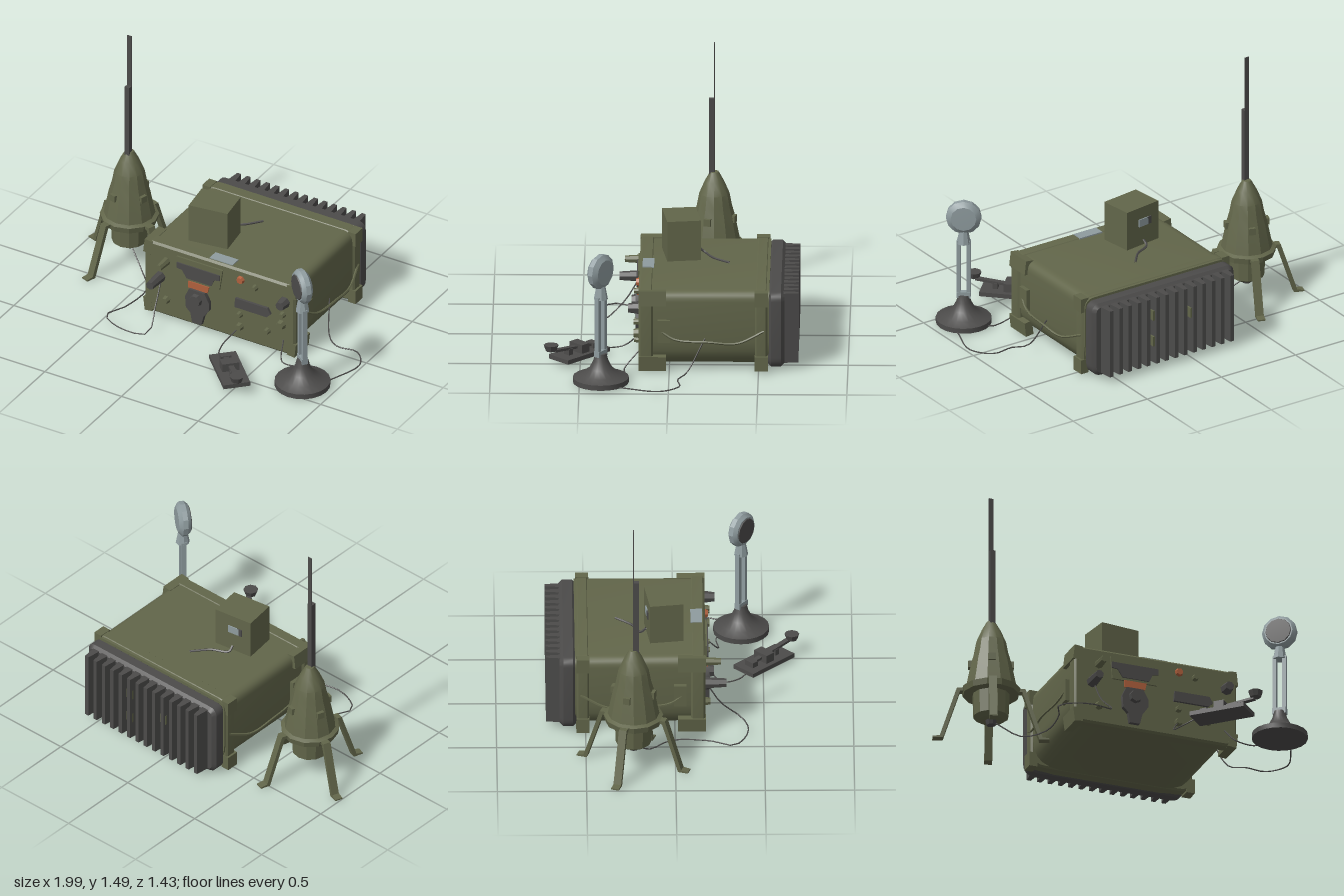
import * as THREE from 'three';
import { toCreasedNormals } from 'three/addons/utils/BufferGeometryUtils.js';

const mat = (name, hex, side = THREE.FrontSide) => {
  const m = new THREE.MeshStandardMaterial({ color: hex, side });
  m.name = name;
  return m;
};

export function createModel() {
  const olive = mat('olive', 0x62664a);
  const dark = mat('dark grey', 0x4c4b4a, THREE.DoubleSide);
  const steel = mat('steel', 0x8f9c9f);
  const orange = mat('orange', 0xb0603d);
  const root = new THREE.Group();
  root.name = 'fieldRadioSet';

  const group = (name, x = 0, y = 0, z = 0, ry = 0) => {
    const g = new THREE.Group();
    g.name = name;
    g.position.set(x, y, z);
    g.rotation.y = ry;
    root.add(g);
    return g;
  };
  const add = (parent, name, geo, material, x = 0, y = 0, z = 0) => {
    const m = new THREE.Mesh(toCreasedNormals(geo, 0.5), material);
    m.name = name;
    m.position.set(x, y, z);
    parent.add(m);
    return m;
  };
  // box given by its limits
  const box = (parent, name, material, x0, x1, y0, y1, z0, z1) =>
    add(parent, name, new THREE.BoxGeometry(x1 - x0, y1 - y0, z1 - z0), material,
      (x0 + x1) / 2, (y0 + y1) / 2, (z0 + z1) / 2);
  const poly = (pts) => new THREE.Shape(pts.map(([x, y]) => new THREE.Vector2(x, y)));
  const lathe = (pts, n) => new THREE.LatheGeometry(pts.map(([r, y]) => new THREE.Vector2(r, y)), n);
  const wire = (parent, name, pts, r = 0.004, material = dark) => add(parent, name, new THREE.TubeGeometry(
    new THREE.CatmullRomCurve3(pts.map((p) => new THREE.Vector3(...p))), 24, r, 5), material);
  // section with separate top and bottom corner radii, pushed from z0 to z1
  const block = (parent, name, material, w, y0, y1, rt, rb, z0, z1, bevel = 0) => {
    const s = new THREE.Shape();
    const h = w - bevel, b = y0 + bevel, t = y1 - bevel;
    s.moveTo(-h + rb, b).lineTo(h - rb, b).quadraticCurveTo(h, b, h, b + rb);
    s.lineTo(h, t - rt).quadraticCurveTo(h, t, h - rt, t);
    s.lineTo(-h + rt, t).quadraticCurveTo(-h, t, -h, t - rt);
    s.lineTo(-h, b + rb).quadraticCurveTo(-h, b, -h + rb, b);
    const geo = new THREE.ExtrudeGeometry(s, {
      depth: z1 - z0 - 2 * bevel, curveSegments: 5, bevelEnabled: bevel > 0,
      bevelSize: bevel, bevelThickness: bevel, bevelSegments: 1,
    });
    return add(parent, name, geo, material, 0, 0, z0 + bevel);
  };

  // radio housing
  const radio = group('radio', 0.145, 0, 0);
  block(radio, 'housing', olive, 0.478, 0.015, 0.468, 0.06, 0.16, -0.56, 0.13);
  block(radio, 'frontPanel', olive, 0.49, 0.01, 0.472, 0.035, 0.05, 0.09, 0.172, 0.012);
  block(radio, 'rearFrame', olive, 0.488, 0.012, 0.472, 0.05, 0.07, -0.55, -0.48, 0.01);
  block(radio, 'rearPlate', dark, 0.478, 0.012, 0.46, 0.03, 0.05, -0.645, -0.55, 0.02);

  // corner guards and side handles
  for (const s of [-1, 1]) {
    for (const y of [0.05, 0.43]) {
      const front = add(radio, 'frontCornerGuard', new THREE.BoxGeometry(0.05, 0.085, 0.155), olive, s * 0.468, y, 0.095);
      front.rotation.z = s * (y > 0.2 ? 1 : -1) * 0.12;
      add(radio, 'rearCornerGuard', new THREE.BoxGeometry(0.05, 0.085, 0.075), olive, s * 0.475, y, -0.515);
    }
    add(radio, 'handleMount', new THREE.BoxGeometry(0.03, 0.13, 0.07), olive, s * 0.487, 0.24, 0.03);
    wire(radio, 'carryStrap', [[s * 0.49, 0.25, 0.06], [s * 0.515, 0.2, -0.03], [s * 0.53, 0.19, -0.22],
      [s * 0.52, 0.18, -0.38], [s * 0.485, 0.24, -0.53]], 0.007, olive);
  }

  // cooling fins on the back
  for (let i = 0; i < 14; i++) {
    const x = -0.405 + i * 0.0625;
    add(radio, 'coolingFin', new THREE.ExtrudeGeometry(
      poly([[-0.022, 0], [-0.012, -0.085], [0.012, -0.085], [0.022, 0]].reverse()),
      { depth: 0.41, bevelEnabled: false }).rotateX(-Math.PI / 2).scale(1, 1, -1).translate(0, 0, 0).scale(-1, 1, 1),
      dark, x, 0.035, -0.637);
  }
  for (const [x, y] of [[0.1, 0.14], [0.1, 0.3], [-0.15, 0.25]])
    box(radio, 'rearClip', olive, x - 0.02, x + 0.02, y, y + 0.06, -0.71, -0.63);

  // front panel fittings, in world x
  const panel = group('frontPanelFittings');
  const plate = (name, material, pts, z = 0.172, d = 0.008) =>
    add(panel, name, new THREE.ExtrudeGeometry(poly(pts), { depth: d, bevelEnabled: false }), material, 0, 0, z);
  plate('displayRim', olive, [[-0.12, 0.30], [0.15, 0.30], [0.17, 0.435], [-0.13, 0.435]], 0.17, 0.012);
  plate('displayWindow', dark, [[-0.06, 0.315], [0.1, 0.315], [0.12, 0.36], [0.155, 0.365], [0.155, 0.4], [-0.125, 0.4], [-0.125, 0.365], [-0.09, 0.36]], 0.181);
  plate('orangeLabel', orange, [[-0.05, 0.258], [0.075, 0.258], [0.085, 0.3], [-0.05, 0.3]], 0.18);
  plate('connectorBody', dark, [[-0.02, 0.04], [0.04, 0.04], [0.055, 0.1], [0.09, 0.15], [0.09, 0.2], [0.06, 0.255],
    [-0.04, 0.255], [-0.065, 0.2], [-0.06, 0.13], [-0.03, 0.1]], 0.172, 0.025);
  plate('slot', dark, [[0.25, 0.225], [0.46, 0.225], [0.485, 0.25], [0.465, 0.285], [0.255, 0.285]], 0.172, 0.015);
  const knob = (name, material, x, y, r, d) => add(panel, name,
    new THREE.CylinderGeometry(r * 0.75, r, d, 7).rotateX(Math.PI / 2), material, x, y, 0.17 + d / 2);
  knob('orangeButton', orange, 0.285, 0.41, 0.026, 0.02);
  knob('volumeKnob', dark, -0.24, 0.26, 0.033, 0.12);
  knob('volumeKnobCap', olive, -0.2, 0.375, 0.025, 0.09);
  knob('tuningKnob', dark, 0.57, 0.355, 0.035, 0.06);
  knob('connectorCore', dark, 0.01, 0.2, 0.045, 0.05);
  for (const [x, y, r] of [[-0.2, 0.12, 0.025], [0.28, 0.1, 0.025], [0.38, 0.39, 0.02], [0.46, 0.13, 0.02],
    [0.55, 0.2, 0.03], [0.56, 0.27, 0.02], [0.28, 0.18, 0.02]]) knob('smallKnob', olive, x, y, r, 0.03);
  box(panel, 'topLabel', steel, 0.07, 0.22, 0.469, 0.477, 0.09, 0.155);

  // speaker box on top with its lead
  const speaker = group('speakerBox', -0.025, 0.465, -0.06, 0.14);
  box(speaker, 'speakerCase', olive, -0.118, 0.118, 0, 0.237, -0.095, 0.095);
  box(speaker, 'speakerSocket', steel, -0.04, 0.03, 0.12, 0.165, -0.101, -0.094);
  box(speaker, 'speakerSocketHole', dark, -0.06, -0.03, 0.12, 0.165, -0.101, -0.094);
  wire(panel, 'speakerLead', [[-0.04, 0.5, -0.16], [-0.04, 0.477, -0.19], [0.05, 0.473, -0.24], [0.13, 0.472, -0.33]], 0.007);

  // antenna unit on four legs
  const antenna = group('antenna', -0.685, 0, -0.235);
  add(antenna, 'antennaHousing', lathe([[0, 0.115], [0.07, 0.12], [0.1, 0.14], [0.105, 0.275], [0.16, 0.275], [0.167, 0.31],
    [0.145, 0.32], [0.115, 0.47], [0.098, 0.53], [0.085, 0.6], [0.055, 0.67], [0.025, 0.725], [0, 0.73]], 12), olive);
  add(antenna, 'bottomPlug', new THREE.CylinderGeometry(0.035, 0.025, 0.03, 8), dark, 0, 0.105, 0);
  box(antenna, 'lowerMast', dark, -0.015, 0.015, 0.68, 1.16, -0.002, 0.03);
  box(antenna, 'upperMast', dark, -0.014, 0.014, 1.1, 1.49, -0.002, 0.003);
  for (let i = 0; i < 4; i++) {
    const leg = new THREE.Group();
    leg.name = 'leg';
    leg.rotation.y = -0.33 + i * Math.PI / 2;
    antenna.add(leg);
    // bent strip: arm, strut and foot
    add(leg, 'legStrip', new THREE.ExtrudeGeometry(poly([[0.1, 0.29], [0.175, 0.29], [0.27, 0], [0.328, 0], [0.328, 0.008],
      [0.288, 0.014], [0.192, 0.31], [0.1, 0.31]]), { depth: 0.045, bevelEnabled: false }), olive, 0, 0, -0.0225);
    box(leg, 'housingLug', olive, 0.09, 0.128, 0.44, 0.48, -0.02, 0.02);
  }

  // desk microphone
  const mic = group('microphone', 0.81, 0, 0.38, -0.64);
  add(mic, 'microphoneBase', lathe([[0, 0], [0.157, 0.002], [0.157, 0.032], [0.11, 0.05], [0.065, 0.085], [0.042, 0.13],
    [0.032, 0.17], [0, 0.172]], 20), dark);
  for (const s of [-1, 1]) box(mic, 'standRod', steel, s * 0.028 - 0.011, s * 0.028 + 0.011, 0.16, 0.51, -0.014, 0.014);
  box(mic, 'standFoot', steel, -0.039, 0.039, 0.155, 0.19, -0.018, 0.018);
  add(mic, 'standNeck', new THREE.CylinderGeometry(0.024, 0.04, 0.085, 8), steel, 0, 0.535, 0);
  const disc = (name, pts, material) =>
    add(mic, name, lathe(pts, 12).rotateX(Math.PI / 2), material, 0, 0.655, 0);
  disc('microphoneHead', [[0, -0.036], [0.072, -0.034], [0.1, -0.014], [0.1, 0.014], [0.082, 0.034], [0, 0.036]], steel);
  disc('microphoneGrille', [[0, 0.033], [0.075, 0.033], [0.072, 0.039], [0, 0.041]], dark);

  // telegraph key
  const key = group('telegraphKey', 0.41, 0, 0.505, -Math.PI / 4);
  box(key, 'keyBase', dark, -0.165, 0.165, 0.02, 0.045, -0.077, 0.077);
  box(key, 'keyLever', dark, -0.1, 0.2, 0.07, 0.084, -0.015, 0.015).rotation.z = 0.1;
  box(key, 'keyBridge', dark, -0.03, 0.03, 0.04, 0.095, -0.05, 0.05);
  box(key, 'keySpring', dark, -0.12, -0.08, 0.04, 0.075, -0.03, 0.03);
  box(key, 'keyContact', dark, 0.07, 0.1, 0.04, 0.08, -0.02, 0.02);
  add(key, 'keyKnob', new THREE.CylinderGeometry(0.042, 0.03, 0.035, 8), dark, 0.21, 0.11, 0.012);

  // loose cables on the ground
  const cables = group('cables');
  wire(cables, 'antennaCable', [[-0.66, 0.1, -0.22], [-0.54, 0.006, -0.14], [-0.44, 0.006, -0.02], [-0.45, 0.006, 0.2],
    [-0.5, 0.006, 0.33], [-0.35, 0.006, 0.41], [-0.2, 0.01, 0.38], [-0.22, 0.12, 0.26], [-0.23, 0.25, 0.18]]);
  wire(cables, 'microphoneCable', [[0.64, 0.2, -0.2], [0.7, 0.02, -0.1], [0.78, 0.006, -0.05], [0.9, 0.006, -0.06],
    [0.985, 0.006, 0.05], [0.92, 0.006, 0.28]]);
  wire(cables, 'keyCable', [[0.28, 0.1, 0.17], [0.22, 0.01, 0.26], [0.25, 0.006, 0.36], [0.3, 0.03, 0.42]]);
  wire(cables, 'panelCable', [[0.56, 0.1, 0.17], [0.6, 0.01, 0.25], [0.72, 0.006, 0.24], [0.76, 0.02, 0.28]]);
  return root;
}
